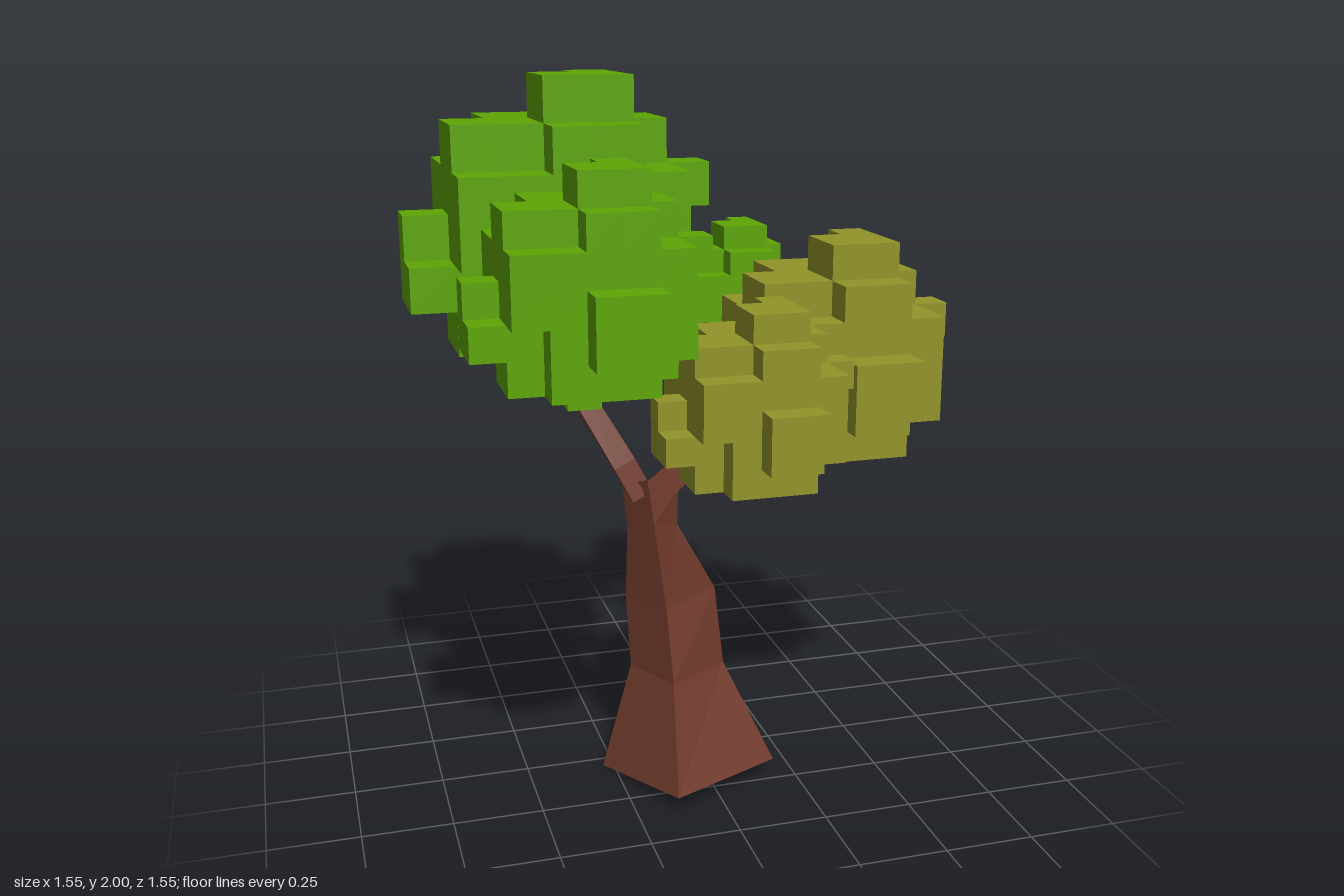
import * as THREE from 'three';
import { mergeGeometries } from 'three/addons/utils/BufferGeometryUtils.js';

const bark = new THREE.MeshStandardMaterial({ color: 0x713b2c });
bark.name = 'bark brown';
const green = new THREE.MeshStandardMaterial({ color: 0x5da605 });
green.name = 'leaf green';
const olive = new THREE.MeshStandardMaterial({ color: 0x92942a });
olive.name = 'leaf olive';

// Flat-shaded skin through four-cornered rings, capped at both ends
function loft(rings) {
  const pos = rings.flat(2), idx = [], last = (rings.length - 1) * 4;
  for (let r = 0; r < rings.length - 1; r++) {
    for (let i = 0; i < 4; i++) {
      const a = r * 4 + i, b = r * 4 + (i + 1) % 4;
      idx.push(a, b, b + 4, a, b + 4, a + 4);
    }
  }
  idx.push(0, 3, 2, 0, 2, 1, last, last + 1, last + 2, last, last + 2, last + 3);
  const g = new THREE.BufferGeometry();
  g.setAttribute('position', new THREE.Float32BufferAttribute(pos, 3));
  g.setIndex(idx);
  const flat = g.toNonIndexed();
  flat.computeVertexNormals();
  return flat;
}

// Square tapered limb along [x, y, z, radius] points
function limb(points) {
  const p = points.map(q => new THREE.Vector3(q[0], q[1], q[2]));
  return loft(p.map((c, i) => {
    const t = p[Math.min(i + 1, p.length - 1)].clone().sub(p[Math.max(i - 1, 0)]).normalize();
    const u = new THREE.Vector3(0, 0, 1).cross(t).normalize();
    const v = t.clone().cross(u);
    return [0, 1, 2, 3].map(k => {
      const a = k * Math.PI / 2 + Math.PI / 4, r = points[i][3];
      return c.clone().addScaledVector(u, r * Math.cos(a)).addScaledVector(v, r * Math.sin(a)).toArray();
    });
  }));
}

// Leaf block pattern: a 5x5x5 core in a 7x7x7 grid, nibbled corners, small bumps on each side
const nibbles = [ // corner side in x, y, z, then cells removed in x, y, z
  [0, 1, 0, 1, 1, 2], [0, 1, 1, 2, 1, 1], [1, 1, 0, 1, 1, 1], [1, 1, 1, 1, 1, 2],
  [0, 0, 0, 2, 1, 2], [0, 0, 1, 1, 2, 1], [1, 0, 0, 1, 1, 2], [1, 0, 1, 1, 1, 2],
];
const bumps = [
  [4, 6, 2], [3, 6, 3], [4, 6, 3], [3, 6, 4], [4, 6, 4], // top
  [3, 0, 2],                                             // bottom
  [0, 2, 3], [0, 3, 3], [0, 2, 4],                       // right side
  [6, 4, 3],                                             // left side
  [3, 2, 6], [3, 3, 6], [4, 3, 6],                       // front
  [2, 4, 0], [3, 4, 0], [4, 2, 0],                       // back
];
const key = (x, y, z) => `${x},${y},${z}`;

function leafGeometry() {
  const cells = new Map();
  for (let x = 1; x < 6; x++) for (let y = 1; y < 6; y++) for (let z = 1; z < 6; z++) {
    const cut = nibbles.some(n => [x, y, z].every((c, i) => (n[i] ? 6 - c : c) <= n[i + 3]));
    if (!cut) cells.set(key(x, y, z), [x, y, z]);
  }
  bumps.forEach(b => cells.set(key(...b), b));
  // Only outward faces are made
  const faces = [];
  const dirs = [[1, 0, 0], [-1, 0, 0], [0, 1, 0], [0, -1, 0], [0, 0, 1], [0, 0, -1]];
  for (const [x, y, z] of cells.values()) {
    for (const [dx, dy, dz] of dirs) {
      if (cells.has(key(x + dx, y + dy, z + dz))) continue;
      const f = new THREE.PlaneGeometry(1, 1);
      f.translate(0, 0, 0.5);
      if (dy) f.rotateX(-dy * Math.PI / 2);
      else f.rotateY(Math.atan2(dx, dz));
      f.translate(x + 0.5, y + 0.5, z + 0.5);
      faces.push(f);
    }
  }
  return mergeGeometries(faces);
}

export function createModel() {
  const tree = new THREE.Group();
  tree.name = 'tree';
  const add = (name, geometry, material) => {
    const m = new THREE.Mesh(geometry, material);
    m.name = name;
    tree.add(m);
    return m;
  };

  // Leaning trunk with a tilted base
  add('trunk', loft([
    [[-0.28, 0, 0.04], [-0.14, 0.05, 0.375], [0.187, 0.05, 0.23], [0.045, 0, -0.095]],
    [[-0.19, 0.31, 0.03], [-0.115, 0.33, 0.235], [0.063, 0.33, 0.13], [-0.02, 0.29, -0.02]],
    [[-0.205, 0.53, 0.04], [-0.12, 0.53, 0.18], [0.045, 0.555, 0.1], [-0.03, 0.55, -0.072]],
    [[-0.205, 0.76, 0.07], [-0.155, 0.79, 0.18], [-0.075, 0.77, 0.13], [-0.1, 0.73, 0.005]],
    [[-0.225, 0.89, 0.1], [-0.17, 0.92, 0.17], [-0.075, 0.88, 0.14], [-0.11, 0.89, 0.07]],
  ]), bark);

  // Branches and their side twigs
  add('rightBranch', limb([
    [-0.175, 0.86, 0.12, 0.045], [-0.22, 0.95, 0.1, 0.045], [-0.335, 1.16, 0.02, 0.04], [-0.33, 1.29, -0.05, 0.025],
  ]), bark);
  add('rightTwig', limb([[-0.31, 1.12, 0.03, 0.03], [-0.35, 1.18, 0.11, 0.025], [-0.36, 1.25, 0.19, 0.02]]), bark);
  add('leftBranch', limb([
    [-0.14, 0.86, 0.12, 0.042], [-0.04, 0.935, 0.11, 0.04], [0.06, 1.0, 0.04, 0.036],
    [0.12, 1.11, -0.24, 0.03], [0.19, 1.22, -0.4, 0.022],
  ]), bark);
  add('leftTwig', limb([[0.03, 0.985, 0.06, 0.03], [0.1, 1.01, 0.06, 0.025], [0.17, 1.03, 0.05, 0.02]]), bark);
  add('backTwig', limb([[0.12, 1.11, -0.25, 0.026], [0.07, 1.16, -0.28, 0.024], [-0.02, 1.24, -0.33, 0.016]]), bark);

  // Leaf clusters: lowest corner of the grid and cell size
  const leaf = leafGeometry();
  [
    ['largeGreenLeaves', green, [-0.778, 1.152, -0.541], 0.1212],
    ['frontGreenLeaves', green, [-0.7, 1.2, 0.163], 0.0873],
    ['backGreenLeaves', green, [0.02, 1.03, -0.777], 0.0701],
    ['largeOliveLeaves', olive, [0.08, 0.84, -0.379], 0.0995],
    ['frontOliveLeaves', olive, [-0.215, 0.915, 0.16], 0.075],
    ['backOliveLeaves', olive, [-0.22, 1.145, -0.527], 0.048],
  ].forEach(([name, material, corner, size]) => {
    const m = add(name, leaf, material);
    m.position.set(...corner);
    m.scale.setScalar(size);
  });
  return tree;
}
